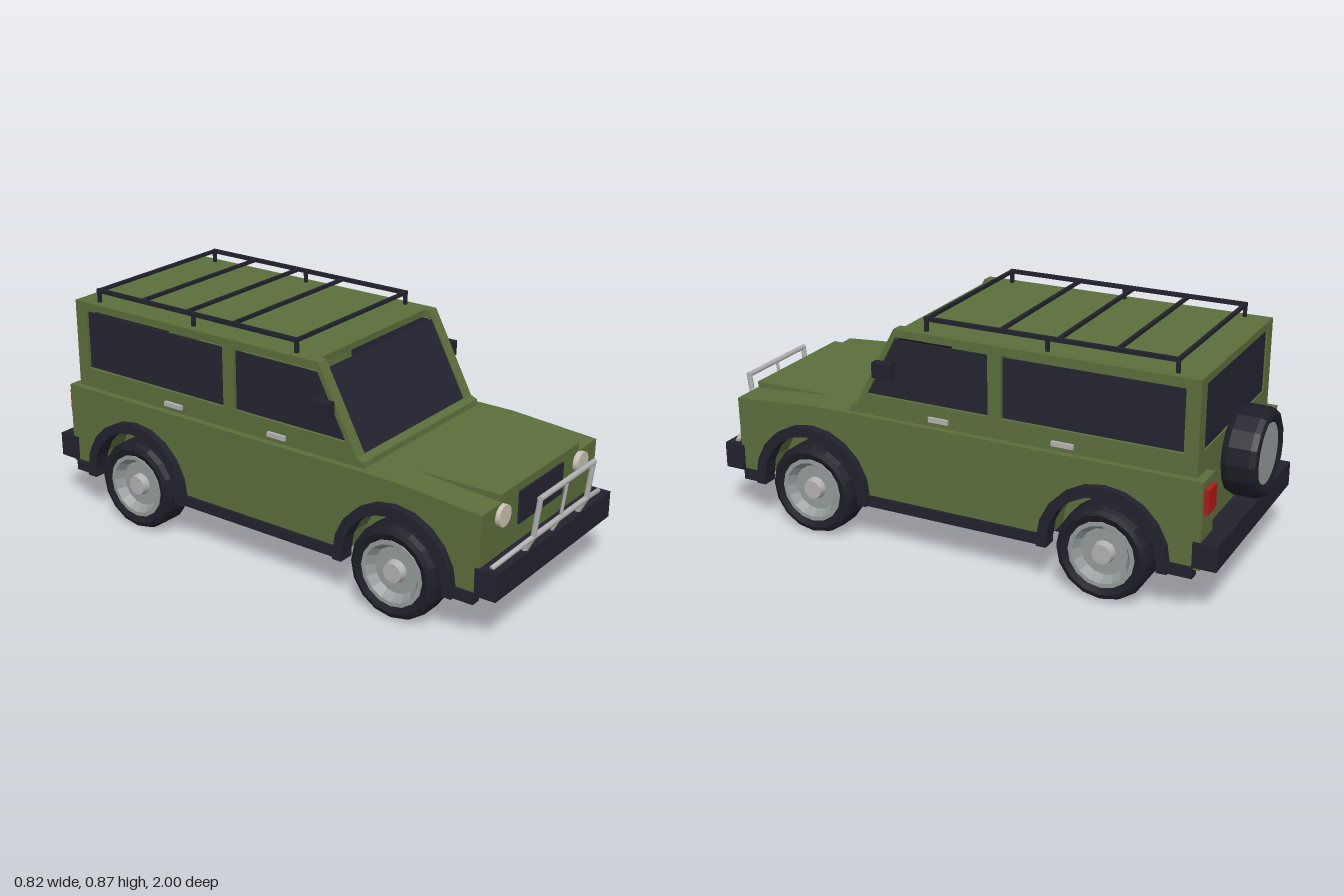
import * as THREE from 'three';
import { toCreasedNormals } from 'three/addons/utils/BufferGeometryUtils.js';

const mat = (name, color) => {
  const m = new THREE.MeshStandardMaterial({ color });
  m.name = name;
  return m;
};

export function createModel() {
  const olive = mat('olive paint', 0x5c6e3c);
  const dark = mat('dark trim', 0x22222e);
  const glass = mat('dark glass', 0x242432);
  const rubber = mat('tyre rubber', 0x1e1e28);
  const silver = mat('silver', 0xb2b2b2);
  const rimGrey = mat('rim grey', 0x949a9a);
  const lamp = mat('lamp cream', 0xcac3b3);
  const red = mat('tail red', 0xb01a1a);

  const model = new THREE.Group();
  model.name = 'offRoader';
  const add = (name, geo, material, parent = model) => {
    const m = new THREE.Mesh(geo, material);
    m.name = name;
    parent.add(m);
    return m;
  };
  // Box given by its limits on each axis
  const box = (name, material, [x0, x1], [y0, y1], [z0, z1]) =>
    add(name, new THREE.BoxGeometry(x1 - x0, y1 - y0, z1 - z0)
      .translate((x0 + x1) / 2, (y0 + y1) / 2, (z0 + z1) / 2), material);
  const shape = (pts, holes = []) => {
    const v = p => p.map(([a, b]) => new THREE.Vector2(a, b));
    const s = new THREE.Shape(v(pts));
    holes.forEach(h => s.holes.push(new THREE.Path(v(h))));
    return s;
  };
  // Side profile of (z, y) points, extruded from x0 to x1
  const slab = (name, material, x0, x1, pts, holes) =>
    add(name, new THREE.ExtrudeGeometry(shape(pts, holes), { depth: x1 - x0, bevelEnabled: false })
      .rotateY(-Math.PI / 2).translate(x1, 0, 0), material);
  const rod = (name, material, a, b, r, sides = 6) => {
    const A = new THREE.Vector3(...a), B = new THREE.Vector3(...b);
    const d = B.clone().sub(A);
    const m = add(name, new THREE.CylinderGeometry(r, r, d.length(), sides), material);
    m.position.copy(A).add(B).multiplyScalar(0.5);
    m.quaternion.setFromUnitVectors(new THREE.Vector3(0, 1, 0), d.normalize());
    return m;
  };
  // Half circle over a wheel, running from back to front
  const arch = (cz, r, n = 10) => Array.from({ length: n + 1 }, (_, i) => {
    const a = Math.PI * (1 - i / n);
    return [cz + r * Math.cos(a), 0.18 + r * Math.sin(a)];
  });
  const rect = (a0, a1, b0, b1) => [[a0, b0], [a1, b0], [a1, b1], [a0, b1]];

  const frontZ = 0.575, rearZ = -0.565, axleY = 0.17;

  // Lower body, bonnet and chassis
  slab('bodyCore', olive, -0.26, 0.26, rect(-0.87, 0.89, 0.18, 0.49));
  box('chassis', dark, [-0.26, 0.26], [0.145, 0.185], [-0.88, 0.88]);
  slab('cowl', olive, -0.31, 0.31, [[0.38, 0.48], [0.43, 0.48], [0.425, 0.51], [0.4, 0.52], [0.38, 0.52]]);

  // Cabin side window outlines
  const frontWindow = top => [[-0.12, 0.565], [0.355, 0.565], [0.355 - (top - 0.565) * 0.53, top], [-0.12, top]];
  const rearWindow = top => rect(-0.82, -0.17, 0.565, top);

  for (const s of [1, -1]) {
    const span = (a, b) => (s > 0 ? [a, b] : [-b, -a]);
    // Side panel with wheel openings
    slab('sidePanel', olive, ...span(0.26, 0.38), [
      [-0.87, 0.18], ...arch(rearZ, 0.205), ...arch(frontZ, 0.205),
      [0.89, 0.18], [0.895, 0.465], [0.56, 0.49], [-0.87, 0.49]]);
    // Arch flares and sills
    for (const cz of [frontZ, rearZ]) {
      slab('archFlare', dark, ...span(0.35, 0.41), [
        [cz - 0.235, 0.155], ...arch(cz, 0.235), [cz + 0.235, 0.155],
        [cz + 0.198, 0.155], ...arch(cz, 0.198).reverse(), [cz - 0.198, 0.155]]);
    }
    for (const z of [[0.805, 0.88], [-0.335, 0.345], [-0.88, -0.795]])
      box('sill', dark, span(0.35, 0.39), [0.15, 0.19], z);

    // Cabin side and its glass
    slab('cabinSide', olive, ...span(0.31, 0.355), [
      [-0.87, 0.49], [0.43, 0.49], [0.425, 0.51], [0.4, 0.52], [0.24, 0.82], [-0.87, 0.82]],
      [frontWindow(0.792), rearWindow(0.792)]);
    slab('frontSideWindow', glass, ...span(0.335, 0.343), frontWindow(0.778));
    slab('rearSideWindow', glass, ...span(0.335, 0.343), rearWindow(0.778));

    // Handles, mirrors, lamps
    for (const z of [[0.03, 0.105], [-0.44, -0.36]])
      box('doorHandle', silver, span(0.35, 0.366), [0.508, 0.525], z);
    box('mirror', dark, span(0.358, 0.392), [0.645, 0.7], [0.237, 0.31]);
    box('mirrorArm', dark, span(0.34, 0.36), [0.655, 0.68], [0.25, 0.285]);
    add('headlight', new THREE.CylinderGeometry(0.038, 0.038, 0.03, 20)
      .rotateX(Math.PI / 2).translate(s * 0.26, 0.423, 0.895), lamp);
    box('rearCorner', olive, span(0.27, 0.38), [0.18, 0.49], [-0.9, -0.86]);
    box('tailLight', red, span(0.293, 0.367), [0.375, 0.46], [-0.916, -0.89]);
  }

  // Roof, windscreen and rear window
  box('roof', olive, [-0.31, 0.31], [0.797, 0.82], [-0.87, 0.22]);
  const len = Math.hypot(0.275, 0.147);
  const screen = add('windscreen', new THREE.BoxGeometry(0.62, len, 0.008), glass);
  screen.position.set(0, 0.6525, 0.32);
  screen.rotation.x = -Math.atan2(0.147, 0.275);
  add('tailFrame', new THREE.ExtrudeGeometry(
    shape(rect(-0.31, 0.31, 0.49, 0.797), [rect(-0.3, 0.3, 0.565, 0.793)]),
    { depth: 0.03, bevelEnabled: false }).translate(0, 0, -0.87), olive);
  box('rearWindow', glass, [-0.3, 0.3], [0.565, 0.785], [-0.864, -0.856]);

  // Bumpers and grille
  box('frontBumper', dark, [-0.387, 0.387], [0.183, 0.28], [0.88, 0.96]);
  box('rearBumper', dark, [-0.387, 0.387], [0.19, 0.28], [-0.96, -0.875]);
  box('grille', glass, [-0.145, 0.145], [0.345, 0.46], [0.888, 0.897]);

  // Bull bar
  const top = [0.475, 0.988], mid = [0.335, 0.97], low = [0.275, 0.94];
  rod('guardTopBar', silver, [-0.185, ...top], [0.185, ...top], 0.01, 8);
  rod('guardMidBar', silver, [-0.185, ...mid], [0.185, ...mid], 0.01, 8);
  for (const x of [-0.18, 0, 0.18]) {
    const r = x ? 0.01 : 0.006;
    rod('guardUpright', silver, [x, ...top], [x, ...mid], r, 8);
    rod('guardFoot', silver, [x, ...mid], [x, ...low], r, 8);
    if (x) rod('guardWing', silver, [x, ...mid], [x * 2, 0.283, 0.925], 0.009, 8);
  }

  // Roof rack
  const rackY = 0.864, rackX = 0.322;
  for (const x of [-rackX, rackX]) {
    box('rackRail', dark, [x - 0.007, x + 0.007], [rackY - 0.007, rackY + 0.007], [-0.785, 0.135]);
    for (const z of [0.128, -0.325, -0.778])
      box('rackPost', dark, [x - 0.006, x + 0.006], [0.815, rackY], [z - 0.006, z + 0.006]);
  }
  for (const z of [0.128, -0.15, -0.36, -0.57, -0.778])
    box('rackCrossbar', dark, [-rackX, rackX], [rackY - 0.006, rackY + 0.006], [z - 0.006, z + 0.006]);

  // Wheels, turned around the y axis and then laid on their side
  const turned = pts => toCreasedNormals(
    new THREE.LatheGeometry(pts.map(p => new THREE.Vector2(...p)), 16), 0.3);
  const tyre = turned([[0.115, -0.055], [0.145, -0.0675], [0.162, -0.06], [0.17, -0.04],
    [0.17, 0.04], [0.162, 0.06], [0.145, 0.0675], [0.115, 0.055]]);
  const rim = turned([[0, -0.03], [0.085, -0.03], [0.105, -0.062], [0.12, -0.062],
    [0.12, 0.062], [0.105, 0.062], [0.085, 0.03], [0, 0.03]]);
  const hub = new THREE.CylinderGeometry(0.035, 0.042, 0.03, 16).translate(0, 0.042, 0);
  for (const s of [1, -1]) for (const z of [frontZ, rearZ]) {
    const wheel = new THREE.Group();
    wheel.name = 'wheel';
    add('tyre', tyre, rubber, wheel);
    add('rim', rim, rimGrey, wheel);
    add('hubCap', hub, silver, wheel);
    wheel.rotation.z = -s * Math.PI / 2;
    wheel.position.set(s * 0.342, axleY, z);
    model.add(wheel);
  }

  // Spare wheel on the tail
  const spare = new THREE.Group();
  spare.name = 'spareWheel';
  add('spareTyre', tyre, rubber, spare).scale.set(0.92, 0.96, 0.92);
  add('spareCover', new THREE.CylinderGeometry(0.107, 0.107, 0.11, 20), rimGrey, spare);
  spare.rotation.x = -Math.PI / 2;
  spare.position.set(0, 0.465, -0.935);
  model.add(spare);

  return model;
}
